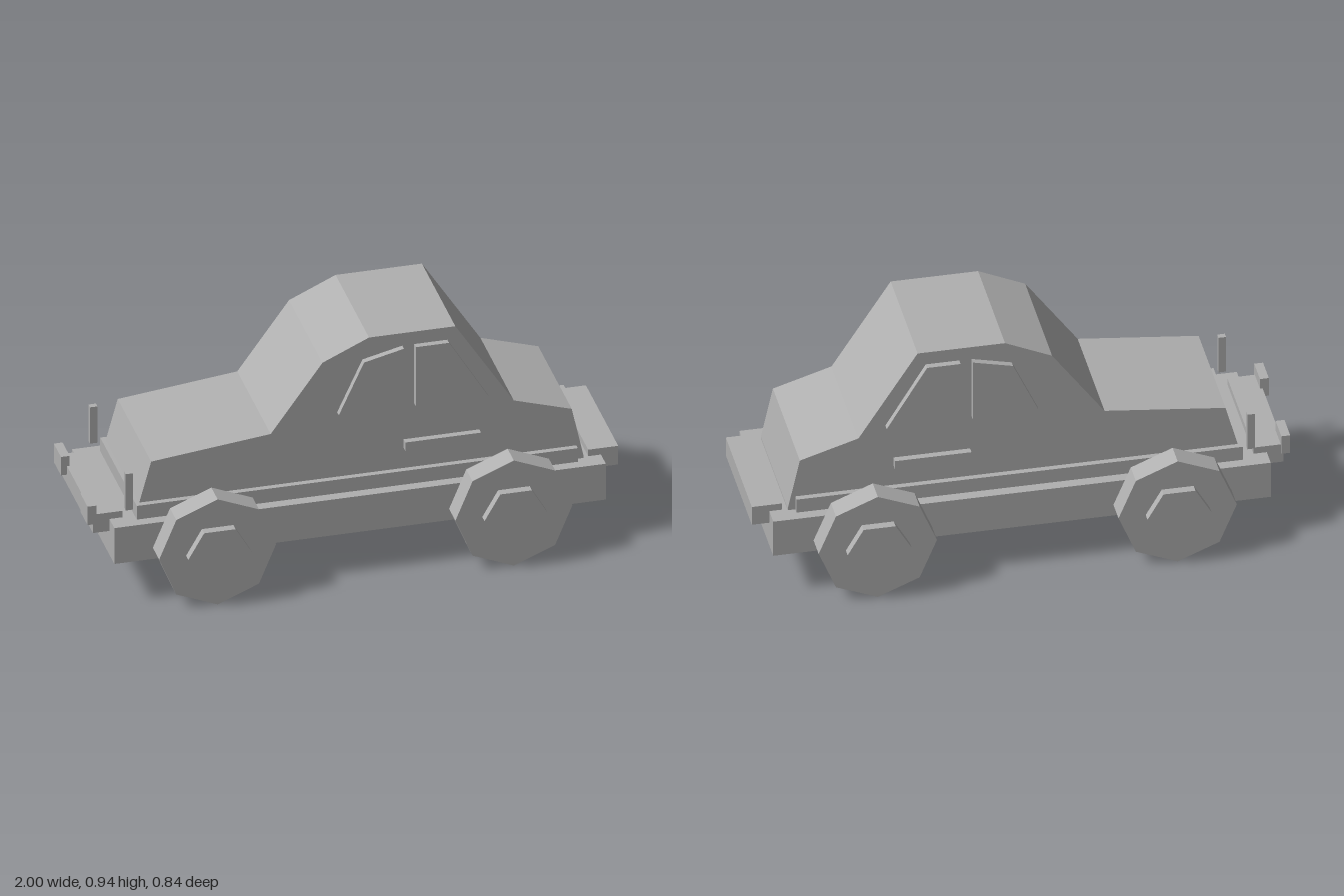
import * as THREE from 'three';

export function createModel() {
  const car = new THREE.Group();
  car.name = 'car';
  const paint = new THREE.MeshStandardMaterial({ color: 0xb0b0b0 });
  paint.name = 'grey';

  const add = (name, geometry) => {
    // Unshared vertices keep every facet flat
    const flat = geometry.index ? geometry.toNonIndexed() : geometry;
    flat.computeVertexNormals();
    const mesh = new THREE.Mesh(flat, paint);
    mesh.name = name;
    car.add(mesh);
    return mesh;
  };

  // Box given by its limits on each axis
  const box = (name, x0, x1, y0, y1, z0, z1) =>
    add(name, new THREE.BoxGeometry(x1 - x0, y1 - y0, z1 - z0))
      .position.set((x0 + x1) / 2, (y0 + y1) / 2, (z0 + z1) / 2);

  // Side outline extruded between two z limits
  const slab = (name, points, z0, z1) => {
    const shape = new THREE.Shape(points.map(([x, y]) => new THREE.Vector2(x, y)));
    add(name, new THREE.ExtrudeGeometry(shape, { depth: z1 - z0, bevelEnabled: false }))
      .position.z = z0;
  };

  // Faceted disc with its axis along z
  const disc = (name, x, y, radius, sides, z0, z1) => {
    const geometry = new THREE.CylinderGeometry(radius, radius, z1 - z0, sides);
    if (sides === 6) geometry.rotateY(Math.PI / 2);
    geometry.rotateX(Math.PI / 2);
    add(name, geometry).position.set(x, y, (z0 + z1) / 2);
  };

  // Chassis, sill and cabin
  box('chassis', -0.915, 0.935, 0.173, 0.323, -0.3, 0.3);
  box('sill', -0.82, 0.84, 0.32, 0.38, -0.26, 0.26);
  slab('body', [
    [-0.817, 0.33], [-0.805, 0.38], [-0.76, 0.545], [-0.31, 0.595], [-0.115, 0.865], [0.06, 0.945],
    [0.385, 0.945], [0.605, 0.602], [0.823, 0.535], [0.868, 0.33], [0.868, 0.32], [-0.817, 0.32],
  ], -0.238, 0.238);

  // Bumpers
  box('frontBumper', -0.977, -0.865, 0.273, 0.35, -0.23, 0.23);
  box('rearBumper', 0.887, 1, 0.272, 0.35, -0.23, 0.23);

  // Parts repeated on both sides
  const frontWindow = [[-0.06, 0.65], [0.185, 0.643], [0.185, 0.893], [0.035, 0.857]];
  const rearWindow = [[0.23, 0.645], [0.505, 0.645], [0.355, 0.893], [0.23, 0.893]];
  for (const s of [1, -1]) {
    const span = (a, b) => (s > 0 ? [a, b] : [-b, -a]);
    const side = s > 0 ? 'left' : 'right';
    slab(`${side}FrontWindow`, frontWindow, ...span(0.23, 0.262));
    slab(`${side}RearWindow`, rearWindow, ...span(0.23, 0.262));
    box(`${side}DoorHandle`, 0.19, 0.475, 0.465, 0.5, ...span(0.23, 0.263));
    box(`${side}Post`, -0.863, -0.835, 0.37, 0.522, ...span(0.243, 0.265));
    box(`${side}BumperGuard`, -1, -0.967, 0.315, 0.392, ...span(0.138, 0.24));
    for (const x of [-0.55, 0.565]) {
      const end = x < 0 ? 'Front' : 'Rear';
      disc(`${side}${end}Wheel`, x, 0.22, 0.22, 8, ...span(0.3, 0.39));
      disc(`${side}${end}Hub`, x, 0.221, 0.119, 6, ...span(0.38, 0.422));
    }
  }
  return car;
}
